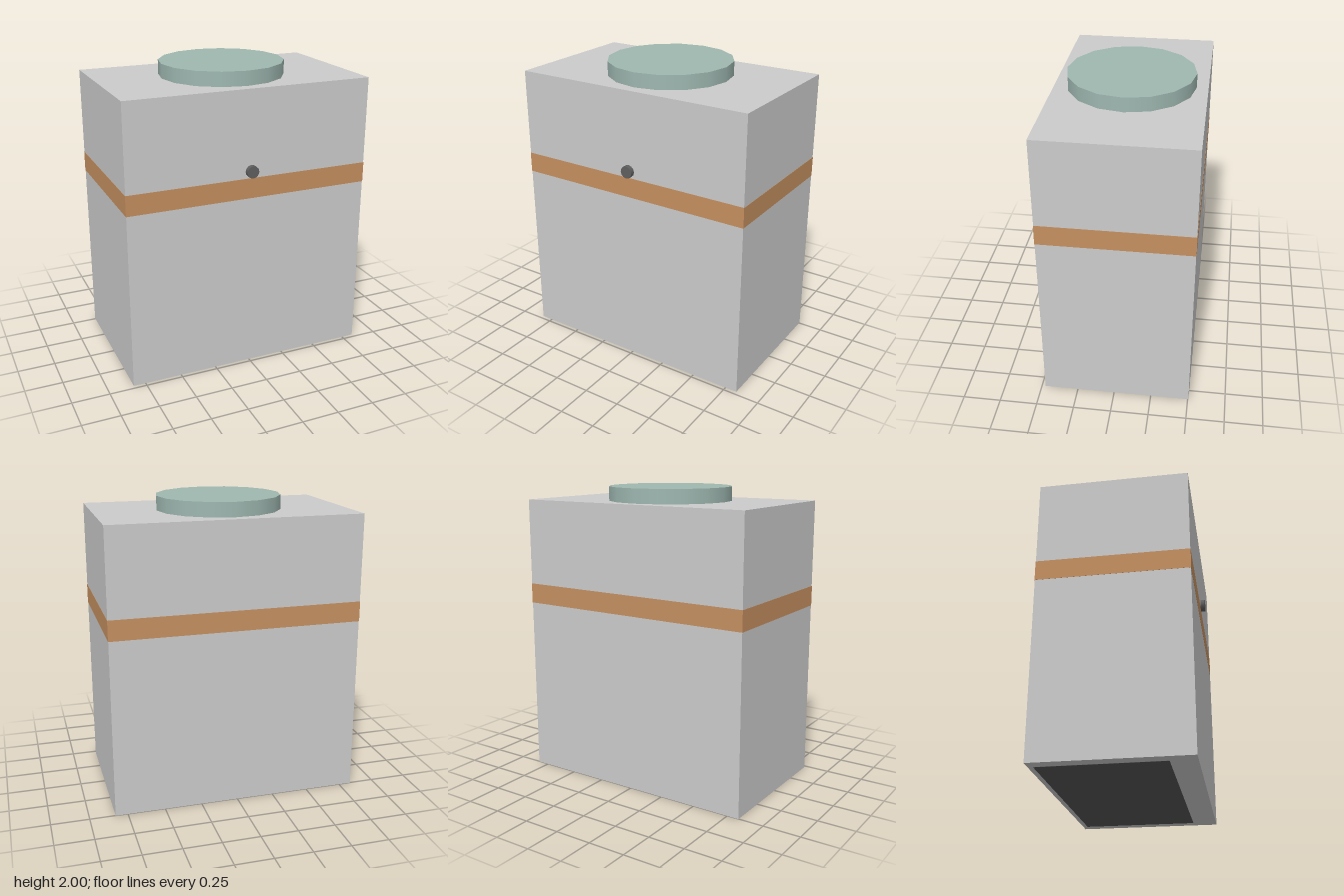
import * as THREE from 'three';

const material = (color) => new THREE.MeshStandardMaterial({ color });

function addPart(group, name, geometry, color, x, y, z) {
  const mesh = new THREE.Mesh(geometry, material(color));
  mesh.name = name;
  mesh.position.set(x, y, z);
  group.add(mesh);
  return mesh;
}

export function createModel() {
  const group = new THREE.Group();
  group.name = 'container';
  const width = 1.664, height = 1.905, depth = 0.98, midZ = -0.015;
  const gap = 0.0015; // keeps flush parts clear of the body faces

  // Plain box body
  addPart(group, 'body', new THREE.BoxGeometry(width, height - gap, depth),
    0xcccccc, 0, (height + gap) / 2, midZ);

  // Coloured band wrapped flush around the body
  addPart(group, 'band', new THREE.BoxGeometry(width + 2 * gap, 0.135, depth + 2 * gap),
    0xc59060, 0, 1.26, midZ);

  // Round cap on top
  addPart(group, 'cap', new THREE.CylinderGeometry(0.415, 0.415, 2 - height, 16),
    0x9fb8b1, 0, (2 + height) / 2, midZ);

  // Small button on the front
  const button = addPart(group, 'button', new THREE.CylinderGeometry(0.041, 0.041, 0.03, 12),
    0x606060, 0, 1.375, 0.49);
  button.rotation.x = Math.PI / 2;

  // Dark panel set into the underside
  addPart(group, 'basePanel', new THREE.BoxGeometry(1.5, 0.03, 0.785),
    0x555555, 0, 0.015, -0.08);

  return group;
}
